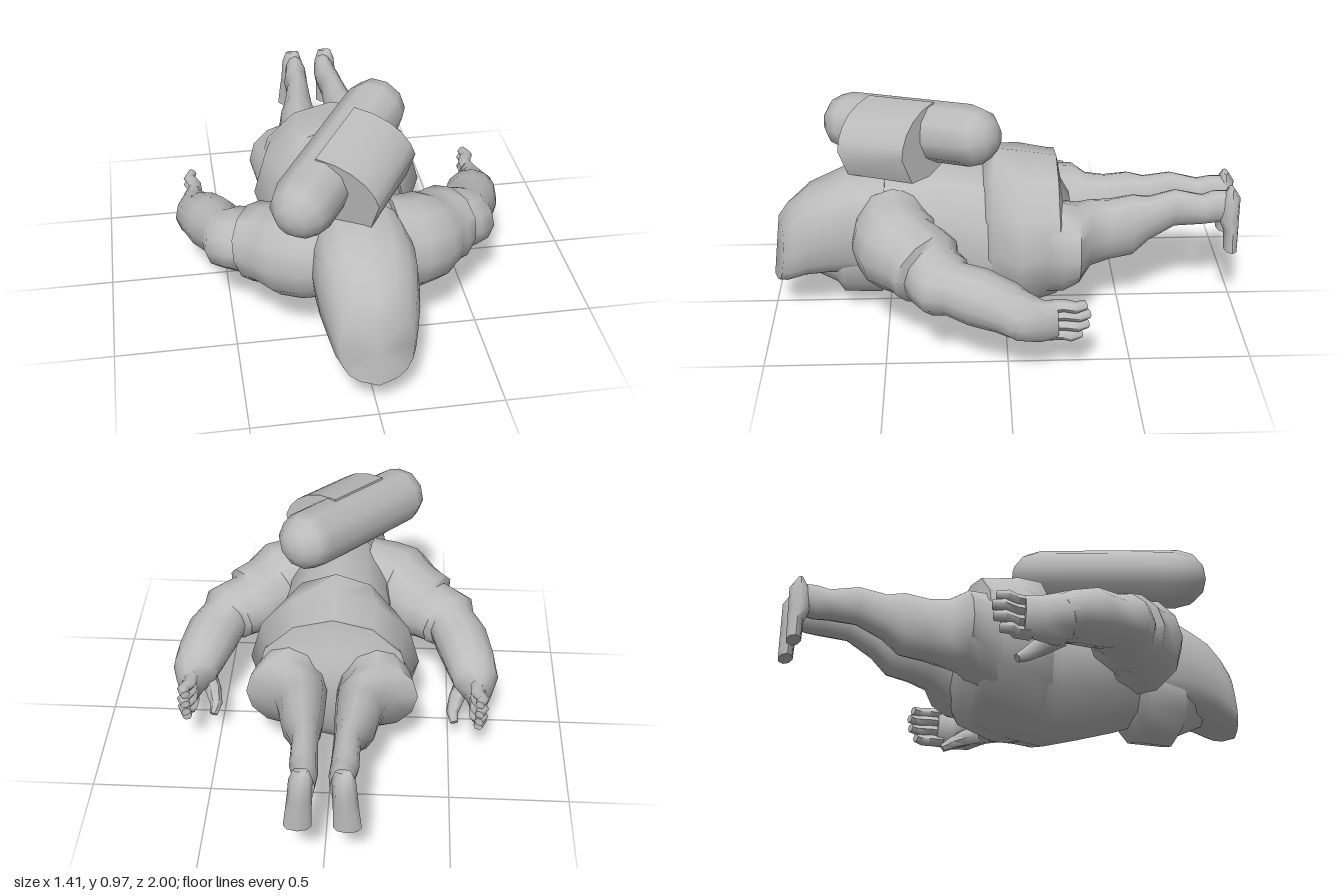
import * as THREE from 'three';
import { toCreasedNormals } from 'three/addons/utils/BufferGeometryUtils.js';

const V = (x, y, z) => new THREE.Vector3(x, y, z);

// Skin over elliptical rings [x, y, z, halfWidth, halfHeight]; p < 1 squares the ring off
function loft(rings, { n = 12, p = 1, up = V(0, 1, 0), dir = null, s = 1, warp = null } = {}) {
  const pos = [], idx = [];
  const c = rings.map(r => V(r[0] * s, r[1], r[2]));
  const pw = v => Math.sign(v) * Math.pow(Math.abs(v), p);
  const put = v => {
    if (warp) warp(v);
    pos.push(v.x, v.y, v.z);
  };
  rings.forEach((r, i) => {
    const t = dir ? dir.clone() : c[Math.min(i + 1, c.length - 1)].clone().sub(c[Math.max(i - 1, 0)]).normalize();
    t.negate();
    const right = up.clone().cross(t).normalize();
    const u = t.clone().cross(right);
    for (let j = 0; j < n; j++) {
      const a = (j / n) * Math.PI * 2;
      put(c[i].clone().addScaledVector(right, pw(Math.cos(a)) * r[3]).addScaledVector(u, pw(Math.sin(a)) * r[4]));
    }
  });
  const last = rings.length - 1, A = rings.length * n, B = A + 1;
  put(c[0]);
  put(c[last]);
  for (let j = 0; j < n; j++) {
    const k = (j + 1) % n;
    for (let i = 0; i < last; i++) {
      const a = i * n + j, b = i * n + k;
      idx.push(a, a + n, b, b, a + n, b + n);
    }
    idx.push(A, j, k, B, last * n + k, last * n + j);
  }
  const g = new THREE.BufferGeometry();
  g.setAttribute('position', new THREE.Float32BufferAttribute(pos, 3));
  g.setIndex(idx);
  return toCreasedNormals(g, 1.1);
}

// Body slices given as [z, halfWidth, bottom, top]
const slices = list => list.map(([z, w, b, t]) => [0, (b + t) / 2, z, w, (t - b) / 2]);

export function createModel() {
  const model = new THREE.Group();
  const grey = new THREE.MeshStandardMaterial({ color: 0xbcbcbc });
  grey.name = 'plain grey';
  const add = (name, geo, parent = model) => {
    const m = new THREE.Mesh(geo, grey);
    m.name = name;
    parent.add(m);
    return m;
  };
  const back = V(0, 0, -1);

  // Hooded head, its face slanting forward to the chin and keeled in the middle
  add('head', loft(slices([
    [0.985, 0.145, 0.145, 0.43], [0.95, 0.165, 0.145, 0.49], [0.865, 0.185, 0.175, 0.555],
    [0.74, 0.2, 0.19, 0.595], [0.66, 0.205, 0.19, 0.635], [0.5, 0.2, 0.16, 0.64],
  ]), {
    dir: back, p: 0.75, n: 16,
    warp: v => {
      const f = THREE.MathUtils.clamp((v.z - 0.74) / 0.22, 0, 1);
      v.z += f * ((0.26 - v.y) * 0.13 - Math.abs(v.x) * 0.3);
    },
  }));

  // Muffled jaw and throat
  add('jaw', loft(slices([
    [0.84, 0.12, 0.18, 0.45], [0.72, 0.165, 0.12, 0.5], [0.69, 0.175, 0.07, 0.5],
    [0.53, 0.19, 0.07, 0.5], [0.47, 0.2, 0.15, 0.5],
  ]), { dir: back }));

  // Chest with a deep belly
  add('torso', loft(slices([
    [0.62, 0.17, 0.2, 0.62], [0.55, 0.21, 0.15, 0.64], [0.42, 0.24, 0.1, 0.655],
    [0.25, 0.245, 0.045, 0.68], [0.1, 0.275, 0, 0.66], [0.0, 0.28, 0.01, 0.66],
  ]), { dir: back }));

  // Skirt of the jacket and seat
  add('hips', loft(slices([
    [0.1, 0.25, 0.01, 0.64], [0.05, 0.29, 0.005, 0.735], [-0.06, 0.36, 0.02, 0.72], [-0.19, 0.315, 0.06, 0.70],
    [-0.22, 0.325, 0.075, 0.695], [-0.245, 0.3, 0.13, 0.56], [-0.28, 0.22, 0.23, 0.5],
  ]), { dir: back }));

  for (const s of [1, -1]) {
    const side = s > 0 ? 'left' : 'right';

    // Leg stretched straight back, flaring out at the thigh
    const leg = new THREE.Group();
    leg.name = side + 'Leg';
    model.add(leg);
    add('trouserLeg', loft([
      [0.16, 0.36, -0.17, 0.15, 0.22], [0.18, 0.36, -0.24, 0.16, 0.2], [0.188, 0.38, -0.305, 0.168, 0.17],
      [0.128, 0.392, -0.36, 0.108, 0.15], [0.115, 0.4, -0.44, 0.095, 0.138],
      [0.107, 0.415, -0.54, 0.085, 0.14], [0.097, 0.44, -0.61, 0.07, 0.1], [0.082, 0.48, -0.72, 0.052, 0.085],
      [0.078, 0.468, -0.84, 0.055, 0.066], [0.07, 0.475, -0.89, 0.05, 0.075], [0.07, 0.48, -0.96, 0.042, 0.07],
    ], { dir: back, s }), leg);
    add('foot', loft([
      [0.078, 0.565, -0.96, 0.03, 0.012], [0.08, 0.52, -0.96, 0.045, 0.04], [0.085, 0.43, -0.955, 0.048, 0.045],
      [0.09, 0.37, -0.968, 0.05, 0.032], [0.095, 0.285, -0.97, 0.055, 0.03],
    ], { dir: V(0, -1, 0), up: V(0, 0, 1), s, n: 8 }), leg);

    // Arm swept out and back, sleeve gathered in folds
    const arm = new THREE.Group();
    arm.name = side + 'Arm';
    model.add(arm);
    add('sleeve', loft([
      [0.12, 0.42, 0.47, 0.17, 0.2], [0.22, 0.41, 0.455, 0.185, 0.195], [0.28, 0.41, 0.43, 0.185, 0.19],
      [0.31, 0.4, 0.4, 0.165, 0.17], [0.35, 0.395, 0.355, 0.165, 0.165], [0.39, 0.385, 0.325, 0.165, 0.165],
      [0.41, 0.375, 0.305, 0.135, 0.14], [0.46, 0.37, 0.275, 0.14, 0.13], [0.49, 0.365, 0.25, 0.145, 0.128],
      [0.51, 0.36, 0.215, 0.108, 0.112], [0.55, 0.345, 0.12, 0.117, 0.12], [0.585, 0.315, 0.01, 0.11, 0.105],
      [0.605, 0.285, -0.05, 0.1, 0.095],
    ], { s }), arm);
    add('palm', loft([
      [0.59, 0.31, 0.0, 0.105, 0.1], [0.608, 0.28, -0.065, 0.1, 0.1], [0.62, 0.272, -0.125, 0.062, 0.092],
      [0.615, 0.275, -0.19, 0.036, 0.085],
    ], { s, n: 10 }), arm);
    [0.205, 0.25, 0.295, 0.335].forEach((y, i) => {
      const reach = [0.03, 0.005, 0, 0.015][i];
      add('finger', loft([
        [0.61, y, -0.16, 0.03, 0.025], [0.61, y, -0.22, 0.028, 0.025],
        [0.63, y + 0.004, -0.275 + reach, 0.026, 0.024], [0.615, y + 0.006, -0.315 + reach, 0.02, 0.019],
      ], { s, n: 6 }), arm);
    });
    add('thumb', loft([
      [0.57, 0.24, -0.03, 0.05, 0.05], [0.53, 0.2, -0.09, 0.036, 0.038],
      [0.512, 0.165, -0.145, 0.026, 0.028], [0.52, 0.14, -0.185, 0.017, 0.018],
    ], { s, n: 6 }), arm);
  }

  // Bedroll lying askew over the shoulders
  const a = V(-0.235, 0.757, 0.645), b = V(0.12, 0.848, 0.14);
  const axis = a.clone().sub(b).normalize();
  const roll = add('bedroll', new THREE.CapsuleGeometry(0.128, a.distanceTo(b), 3, 10));
  roll.position.copy(a).add(b).multiplyScalar(0.5);
  roll.quaternion.setFromUnitVectors(V(0, 1, 0), axis);

  // Padded pouch beside the bedroll
  const shape = new THREE.Shape();
  shape.moveTo(-0.05, -0.125);
  shape.lineTo(0.1, -0.16);
  shape.lineTo(0.215, -0.145);
  shape.lineTo(0.255, -0.03);
  shape.bezierCurveTo(0.24, 0.05, 0.15, 0.13, 0, 0.13);
  shape.closePath();
  const pouch = add('pouch', toCreasedNormals(
    new THREE.ExtrudeGeometry(shape, { depth: 0.34, bevelEnabled: false, curveSegments: 5 }), 1));
  const across = V(0, 1, 0).cross(axis).normalize();
  pouch.quaternion.setFromRotationMatrix(
    new THREE.Matrix4().makeBasis(across, axis.clone().cross(across), axis));
  pouch.position.copy(a).addScaledVector(axis, -0.46);

  return model;
}
